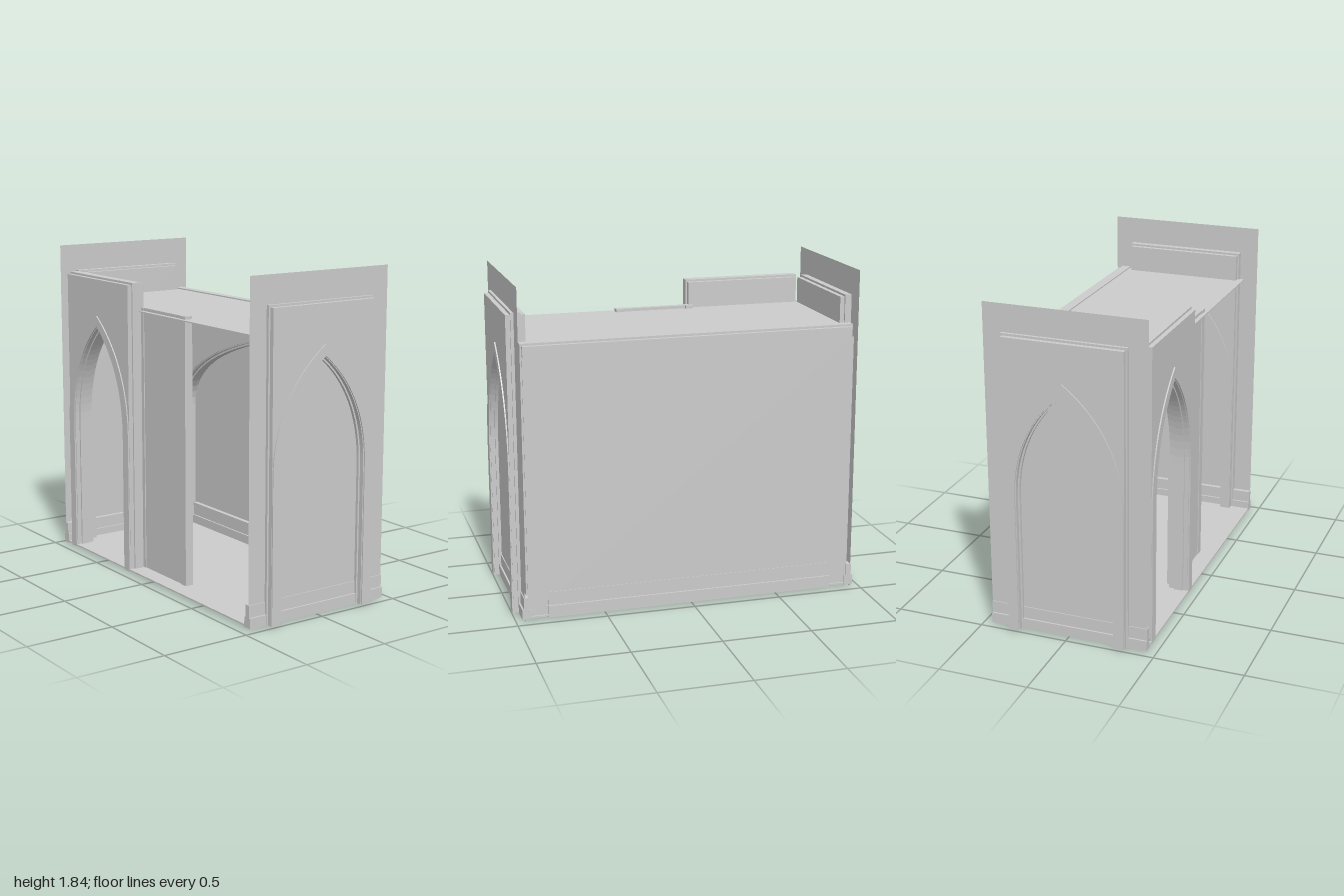
import * as THREE from 'three';

const mat = new THREE.MeshStandardMaterial({ color: 0xcccccc, side: THREE.DoubleSide, flatShading: true });

function add(parent, geometry, name, x = 0, y = 0, z = 0) {
  const mesh = new THREE.Mesh(geometry, mat);
  mesh.name = name;
  mesh.position.set(x, y, z);
  parent.add(mesh);
  return mesh;
}

// box given by its min and max corners
function span(parent, name, [x0, y0, z0], [x1, y1, z1]) {
  return add(parent, new THREE.BoxGeometry(x1 - x0, y1 - y0, z1 - z0), name,
    (x0 + x1) / 2, (y0 + y1) / 2, (z0 + z1) / 2);
}

// pointed arch outline from the right foot over the apex to the left foot
function archLine(w, apex, spring = 0.8, foot = 0.01) {
  const rise = apex - spring;
  const half = new THREE.CubicBezierCurve(
    new THREE.Vector2(w, spring), new THREE.Vector2(w, spring + rise * 0.45),
    new THREE.Vector2(w * 0.6, spring + rise * 0.78), new THREE.Vector2(0, apex)).getPoints(16);
  const mirrored = half.slice(0, -1).reverse().map(p => new THREE.Vector2(-p.x, p.y));
  return [new THREE.Vector2(w, foot), ...half, ...mirrored, new THREE.Vector2(-w, foot)];
}

function rectLine(w, h, foot = 0.01) {
  return [[w, foot], [w, h], [-w, h], [-w, foot]].map(p => new THREE.Vector2(...p));
}

// slab between an outer outline and an inner arch, centred on z = 0
function slab(parent, name, outer, inner, halfDepth) {
  const shape = new THREE.Shape([...outer, ...inner.slice().reverse()]);
  const geo = new THREE.ExtrudeGeometry(shape, { depth: halfDepth * 2, bevelEnabled: false });
  geo.translate(0, 0, -halfDepth);
  return add(parent, geo, name);
}

// layered portal: core, facing and raised arch ring
function portal(name, { w, h, a, apex, ringW, ringApex, depth }) {
  const g = new THREE.Group();
  g.name = name;
  slab(g, 'portalCore', rectLine(w, h), archLine(a, apex), depth * 0.45);
  slab(g, 'portalFacing', rectLine(w - 0.01, h - 0.012), archLine(a + 0.01, apex + 0.012), depth * 0.88);
  slab(g, 'archRing', archLine(ringW, ringApex), archLine(a + 0.015, apex + 0.018), depth);
  return g;
}

// two-tier skirting running along x, on both faces of a wall at z = 0
function skirting(parent, x0, x1, top) {
  span(parent, 'skirtingFoot', [x0, 0.01, -0.025], [x1, top * 0.5, 0.025]);
  span(parent, 'skirtingBoard', [x0, 0.01, -0.015], [x1, top, 0.015]);
}

export function createModel() {
  const model = new THREE.Group();
  model.name = 'archedRoom';
  const small = { w: 0.345, h: 1.688, a: 0.262, apex: 1.385, ringW: 0.333, ringApex: 1.465, depth: 0.06 };
  const large = { w: 0.935, h: 1.535, a: 0.82, apex: 1.31, ringW: 0.92, ringApex: 1.38, depth: 0.055 };

  // front and back walls with blind arches
  for (const s of [1, -1]) {
    const end = new THREE.Group();
    end.name = s > 0 ? 'frontWall' : 'backWall';
    add(end, new THREE.PlaneGeometry(0.9, 1.84), 'wallPanel', 0, 0.92, 0.01);
    end.add(portal('endPortal', small));
    skirting(end, -0.262, 0.262, 0.135);
    skirting(end, 0.345, 0.45, 0.135);
    skirting(end, -0.45, -0.345, 0.135);
    end.position.z = 0.94 * s;
    if (s < 0) end.rotation.y = Math.PI;
    model.add(end);
  }

  // long left wall with a wide arch on its inner face
  const side = new THREE.Group();
  side.name = 'leftWall';
  add(side, new THREE.PlaneGeometry(1.86, 1.45), 'wallPanel', 0, 0.745, 0.057);
  side.add(portal('widePortal', large));
  const boards = new THREE.Group();
  boards.name = 'leftSkirting';
  skirting(boards, -0.82, 0.82, 0.155);
  boards.position.z = 0.045;
  side.add(boards);
  side.rotation.y = Math.PI / 2;
  side.position.x = 0.385;
  model.add(side);

  // open doorway on the right side
  const doorway = portal('doorwayPortal', small);
  doorway.rotation.y = Math.PI / 2;
  doorway.position.set(-0.39, 0, -0.545);
  model.add(doorway);

  // sliding door with thicker end stiles
  const door = new THREE.Group();
  door.name = 'slidingDoor';
  span(door, 'doorPanel', [-0.35, 0.01, -0.19], [-0.318, 1.545, 0.19]);
  span(door, 'doorStile', [-0.355, 0.01, -0.232], [-0.307, 1.545, -0.185]);
  span(door, 'doorStile', [-0.355, 0.01, 0.185], [-0.307, 1.545, 0.232]);
  model.add(door);

  // floor and ceiling
  span(model, 'floor', [-0.45, 0.017, -0.95], [0.45, 0.025, 0.95]);
  span(model, 'ceiling', [-0.375, 1.522, -0.93], [0.375, 1.528, 0.93]);
  return model;
}
